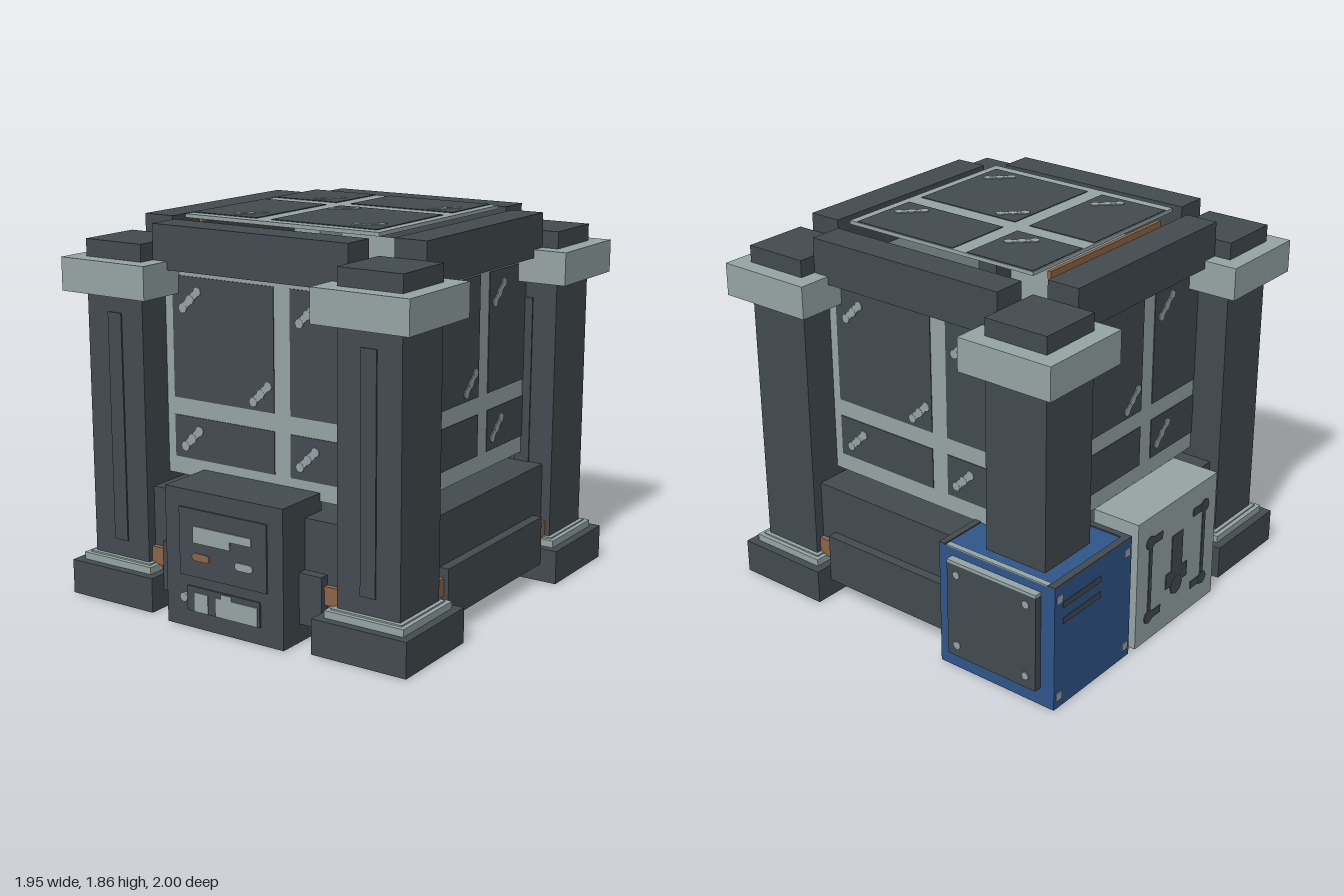
import * as THREE from 'three';

const mat = (name, color) => {
  const m = new THREE.MeshStandardMaterial({ color });
  m.name = name;
  return m;
};

export function createModel() {
  const dark = mat('dark steel', 0x434b50);
  const light = mat('pale metal', 0x96a5a4);
  const blue = mat('blue paint', 0x2f568a);
  const brown = mat('copper', 0x8b6547);
  const yellow = mat('olive yellow', 0x6c6b22);

  const root = new THREE.Group();
  root.name = 'glassChamber';
  const CX = 0.02, CZ = -0.005;

  // Box given by its limits on each axis
  const box = (parent, name, m, x0, x1, y0, y1, z0, z1) => {
    const mesh = new THREE.Mesh(new THREE.BoxGeometry(x1 - x0, y1 - y0, z1 - z0), m);
    mesh.position.set((x0 + x1) / 2, (y0 + y1) / 2, (z0 + z1) / 2);
    mesh.name = name;
    parent.add(mesh);
    return mesh;
  };
  // Thin disc facing local +z
  const disc = (parent, name, m, x, y, z, r, t = 0.006) => {
    const g = new THREE.CylinderGeometry(r, r, t, 8);
    g.rotateX(Math.PI / 2);
    const mesh = new THREE.Mesh(g, m);
    mesh.position.set(x, y, z);
    mesh.name = name;
    parent.add(mesh);
  };
  const group = (name, x, y, z) => {
    const g = new THREE.Group();
    g.name = name;
    g.position.set(x, y, z);
    root.add(g);
    return g;
  };

  // Glass sheet: pale slab facing +z with dark panes and diagonal glints
  const sheet = (g, u0, u1, v0, v1, t, us, vs, glints) => {
    box(g, 'windowFrame', light, u0, u1, v0, v1, -t, 0);
    for (const [a, b] of us) for (const [c, d] of vs)
      box(g, 'pane', dark, a, b, c, d, -0.001, 0.004);
    for (const [u, v] of glints) {
      const bar = box(g, 'glint', light, u - 0.06, u + 0.06, v - 0.016, v + 0.016, 0.002, 0.008);
      bar.rotation.z = Math.PI / 4;
      for (const s of [-0.042, 0.0, 0.042]) disc(g, 'glintDot', light, u + s, v + s, 0.006, 0.023);
    }
  };

  // Four glass walls, each centred on the corner columns
  ['front', 'left', 'back', 'right'].forEach((side, i) => {
    const g = group(side + 'Window', CX, 0, CZ);
    g.rotation.y = i * Math.PI / 2;
    const w = new THREE.Group();
    w.name = side + 'Glazing';
    w.position.z = 0.7;
    g.add(w);
    sheet(w, -0.6, 0.6, 0.625, 1.65, 0.04,
      [[-0.495, 0.085], [0.175, 0.59]], [[0.71, 0.915], [1.0, 1.585]],
      [[-0.39, 1.475], [0.27, 1.475], [0.01, 1.08], [-0.39, 0.81], [0.27, 0.81]]);

    // Top rail, lower curb and copper strip on every side
    box(g, 'topRail', dark, -0.54, 0.54, 1.62, 1.83, 0.62, 0.785);
    box(g, 'curb', dark, -0.455, 0.455, 0.09, 0.335, 0.7, 0.868);
    box(g, 'copperStrip', brown, -0.54, 0.54, 0.2, 0.288, 0.75, 0.845);
  });

  // Glass roof
  const roof = group('roof', CX, 1.846, CZ);
  roof.rotation.x = -Math.PI / 2;
  sheet(roof, -0.54, 0.54, -0.54, 0.54, 0.018,
    [[-0.535, -0.165], [-0.08, 0.495]], [[-0.485, 0.085], [0.175, 0.535]],
    [[-0.27, 0.275], [0.39, 0.275], [0, 0], [-0.27, -0.385], [0.39, -0.385]]);
  box(root, 'roofSupport', brown, -0.545, -0.525, 1.79, 1.825, -0.45, 0.4);

  // Solid lower body
  box(root, 'lowerBody', dark, CX - 0.82, CX + 0.82, 0.09, 0.58, CZ - 0.82, CZ + 0.82);

  // Corner columns
  for (const sx of [-1, 1]) for (const sz of [-1, 1]) {
    const c = group('column', CX + sx * 0.705, 0, CZ + sz * 0.705);
    const slab = (name, m, h, y0, y1) => box(c, name, m, -h, h, y0, y1, -h, h);
    slab('shaft', dark, 0.165, 0.1, 1.743);
    slab('collar', light, 0.248, 1.5, 1.66);
    box(c, 'shaftPanel', dark, -0.04, 0.04, 0.295, 1.41, 0.16, 0.172);
    if (sx < 0 && sz < 0) continue; // this corner stands in the blue cabinet
    slab('foot', dark, 0.248, 0, 0.17);
    slab('footTrim', light, 0.207, 0.17, 0.205);
    slab('footTrimStep', light, 0.185, 0.205, 0.212);
    for (const bx of [-0.17, 0.17]) for (const bz of [-0.17, 0.17])
      box(c, 'footBolt', light, bx - 0.015, bx + 0.015, -0.002, 0.004, bz - 0.015, bz + 0.015);
  }

  // Front control box with two raised plates
  const ctl = group('controlBox', 0.022, 0, 0.985);
  box(ctl, 'housing', dark, -0.332, 0.332, 0, 0.665, -0.3, 0);
  box(ctl, 'screenPlate', dark, -0.247, 0.247, 0.255, 0.58, -0.01, 0.009);
  box(ctl, 'lowerPlate', dark, -0.207, 0.207, 0.085, 0.205, -0.01, 0.009);
  const mark = (name, m, x0, x1, y0, y1) => box(ctl, name, m, x0, x1, y0, y1, 0.008, 0.014);
  mark('readout', light, -0.165, 0.165, 0.46, 0.5);
  mark('readoutLower', light, -0.165, 0.045, 0.42, 0.46);
  mark('copperButton', brown, -0.155, -0.09, 0.335, 0.372);
  mark('paleButton', light, 0.09, 0.155, 0.335, 0.372);
  for (const [m, x] of [[brown, -0.155], [brown, -0.09], [light, 0.09], [light, 0.155]])
    disc(ctl, 'buttonEnd', m, x, 0.3535, 0.011, 0.0185);
  mark('gaugeLeft', light, -0.165, -0.085, 0.087, 0.18);
  mark('gaugeRight', light, -0.042, 0.195, 0.087, 0.178);
  mark('gaugePeak', light, -0.01, 0.05, 0.178, 0.2);
  disc(ctl, 'knob', light, -0.225, 0.145, 0.005, 0.023, 0.018);

  // Pale side unit on the -x side, local +z facing outwards
  const unit = group('sideUnit', -0.972, 0, -0.008);
  unit.rotation.y = -Math.PI / 2;
  box(unit, 'unitBody', light, -0.33, 0.33, 0, 0.665, -0.25, 0);
  box(unit, 'unitInnerPlate', yellow, -0.25, 0.25, 0.1, 0.635, -0.258, -0.25);
  const inset = (x0, x1, y0, y1) => box(unit, 'unitInset', dark, x0, x1, y0, y1, -0.002, 0.004);
  for (const s of [-1, 1]) {
    inset(s * 0.225 - 0.012, s * 0.225 + 0.012, 0.12, 0.54);
    for (const y of [0.13, 0.53]) {
      inset(s * 0.18 - 0.05, s * 0.18 + 0.05, y - 0.02, y + 0.02);
      disc(unit, 'unitBolt', dark, s * 0.23, y, 0.002, 0.035);
    }
  }
  inset(-0.045, 0.045, 0.25, 0.48);
  inset(-0.09, 0.09, 0.21, 0.29);
  disc(unit, 'unitKeyhole', dark, 0, 0.2, 0.002, 0.05);

  // Blue cabinet around the back corner
  const X0 = -0.968, X1 = -0.315, Z0 = -0.96, Z1 = -0.385, T = 0.625;
  const cab = group('cabinet', 0, 0, 0);
  box(cab, 'cabinetBody', blue, X0, X1, 0, T, Z0, Z1);
  box(cab, 'lidTrim', dark, X0, X0 + 0.037, T, T + 0.006, Z0, Z1);
  box(cab, 'lidTrim', dark, X1 - 0.033, X1, T, T + 0.006, Z0, Z1);
  box(cab, 'lidTrim', dark, X0, X1, T, T + 0.006, Z1 - 0.035, Z1);
  box(cab, 'lidEdge', light, X0 + 0.04, X1 - 0.04, T, T + 0.006, Z0, Z0 + 0.03);
  for (const [z0, z1] of [[Z0 - 0.038, Z0], [Z1, Z1 + 0.038]]) {
    box(cab, 'door', dark, X0 + 0.075, X1 - 0.075, 0.09, 0.57, z0, z1);
    box(cab, 'doorLip', light, X0 + 0.075, X1 - 0.075, 0.57, 0.585, z0, z1);
  }
  for (const x of [X0 + 0.13, X1 - 0.13])
    for (const y of [0.15, 0.52]) disc(cab, 'doorBolt', light, x, y, Z0 - 0.039, 0.02);
  for (const x of [X0, X1]) {
    for (const y of [0.44, 0.52])
      box(cab, 'ventSlot', dark, x - 0.003, x + 0.003, y - 0.015, y + 0.015, -0.9, -0.62);
    for (const z of [Z0 + 0.035, Z1 - 0.035]) for (const y of [0.06, 0.56])
      box(cab, 'cabinetBolt', light, x - 0.004, x + 0.004, y - 0.02, y + 0.02, z - 0.02, z + 0.02);
  }
  return root;
}
